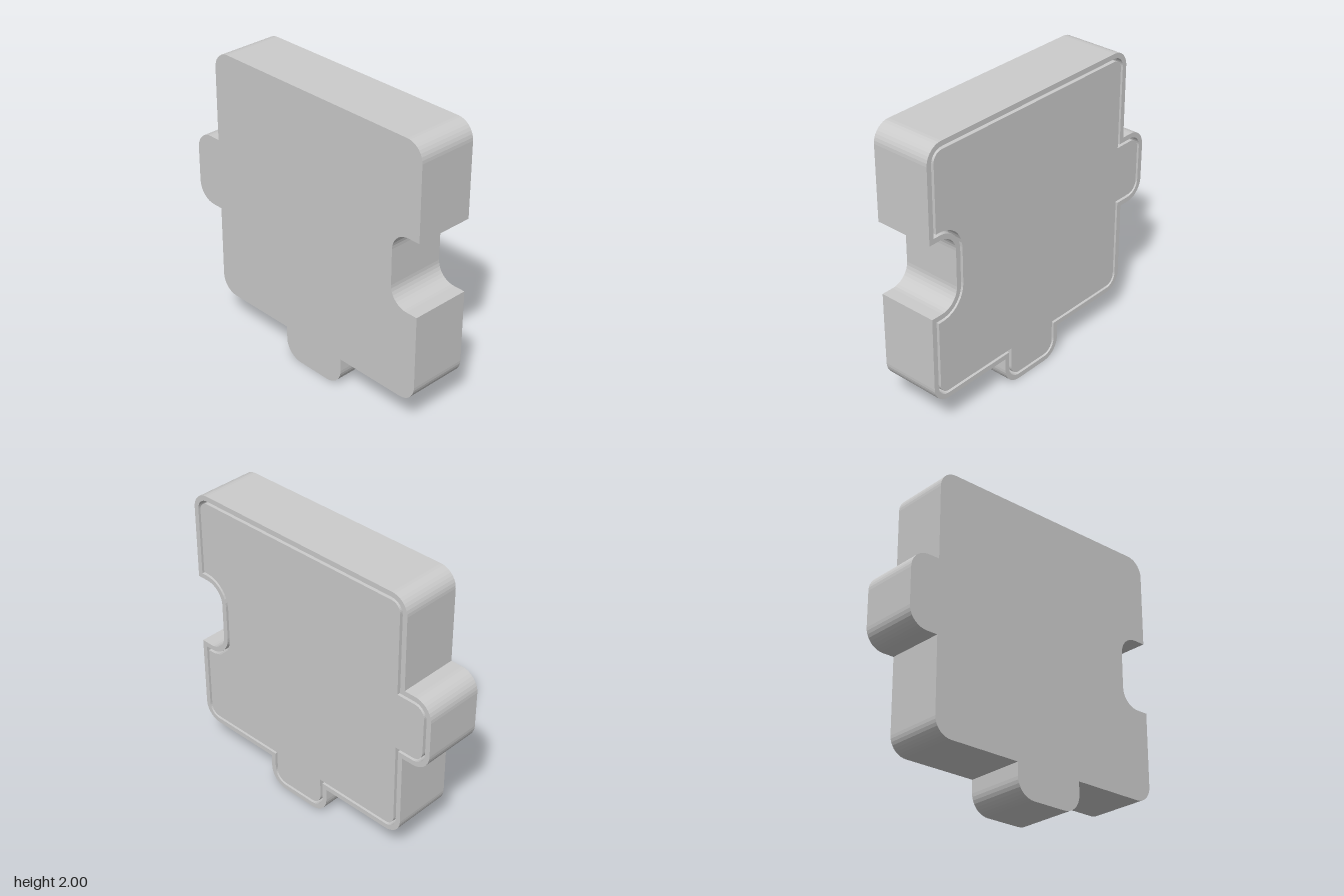
import * as THREE from 'three';

// Outline corners, counter-clockwise: x, y, corner radius
const CORNERS = [
  [-0.79, 0.22, 0.12], [-0.15, 0.22, 0],
  [-0.15, 0, 0.13], [0.36, 0, 0.13], [0.36, 0.22, 0],      // bottom tab
  [1, 0.22, 0.12], [1, 0.855, 0],
  [0.785, 0.855, 0.13], [0.785, 1.365, 0.13], [1, 1.365, 0], // side notch
  [1, 2, 0.12], [-0.79, 2, 0.12], [-0.79, 1.365, 0],
  [-1, 1.365, 0.13], [-1, 0.855, 0.13], [-0.79, 0.855, 0],  // side tab
];
const HALF = 0.21, GROOVE_DEPTH = 0.1, RIM = 0.035, GAP = 0.02;

// Rounded outline moved inwards by the given distance
function outline(inset) {
  const pts = [], n = CORNERS.length;
  const at = (i) => new THREE.Vector2(...CORNERS[(i + n) % n].slice(0, 2));
  for (let i = 0; i < n; i++) {
    const p = at(i), radius = CORNERS[i][2];
    const din = p.clone().sub(at(i - 1)).normalize();
    const dout = at(i + 1).sub(p).normalize();
    p.x -= inset * (din.y + dout.y);
    p.y += inset * (din.x + dout.x);
    if (radius === 0) { pts.push(p); continue; }
    const r = radius + (din.cross(dout) > 0 ? -inset : inset);
    const c = p.clone().addScaledVector(din, -r).addScaledVector(dout, r);
    for (let k = 0; k <= 9; k++) {
      const t = (k / 9) * Math.PI / 2;
      pts.push(c.clone().addScaledVector(din, r * Math.sin(t)).addScaledVector(dout, -r * Math.cos(t)));
    }
  }
  return pts;
}

export function createModel() {
  const group = new THREE.Group();
  group.name = 'puzzlePiece';
  const material = new THREE.MeshStandardMaterial({ color: 0xcccccc });

  const addSlab = (name, shape, z, depth) => {
    const geometry = new THREE.ExtrudeGeometry(shape, { depth, bevelEnabled: false });
    const mesh = new THREE.Mesh(geometry, material);
    mesh.name = name;
    mesh.position.z = z;
    group.add(mesh);
  };

  // Solid front body
  addSlab('body', new THREE.Shape(outline(0)), -HALF + GROOVE_DEPTH, 2 * HALF - GROOVE_DEPTH);

  // Rim around the back
  const rim = new THREE.Shape(outline(0));
  rim.holes.push(new THREE.Path(outline(RIM)));
  addSlab('backRim', rim, -HALF, GROOVE_DEPTH);

  // Back panel, separated from the rim by a narrow groove
  addSlab('backPanel', new THREE.Shape(outline(RIM + GAP)), -HALF, GROOVE_DEPTH);

  return group;
}
